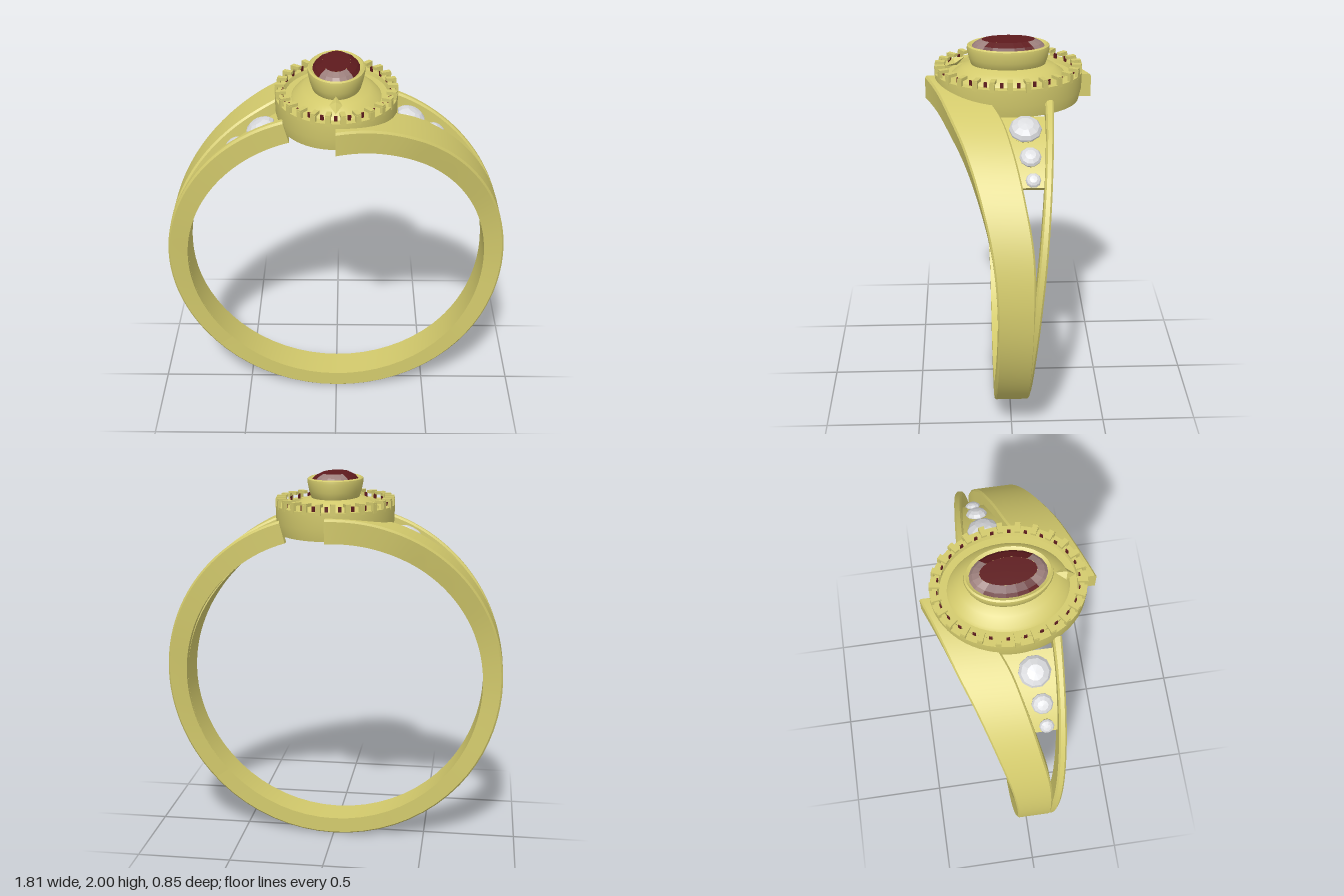
import * as THREE from 'three';
import { toCreasedNormals } from 'three/addons/utils/BufferGeometryUtils.js';

const paint = (name, color) => {
  const m = new THREE.MeshStandardMaterial({ color });
  m.name = name;
  return m;
};

// Point between the finger hole (f = 0) and the outside of the band (f = 1)
function bandPoint(a, f, z) {
  const r = THREE.MathUtils.lerp(0.8, 0.905, f);
  const cy = THREE.MathUtils.lerp(0.89, 0.905, f);
  return [Math.cos(a) * r, cy + Math.sin(a) * r, z];
}

// Curved strip; keys are [degrees, back z, front z]
function strip(keys, f0 = 0, f1 = 1, steps = 72) {
  const curve = new THREE.CatmullRomCurve3(keys.map(k => new THREE.Vector3(...k)), false, 'centripetal');
  const pos = [], idx = [], n = 6;
  for (let i = 0; i <= steps; i++) {
    const p = curve.getPoint(i / steps);
    const a = THREE.MathUtils.degToRad(p.x), b = 0.009, fb = f1 - 0.09;
    [[f0, p.y], [fb, p.y], [f1, p.y + b], [f1, p.z - b], [fb, p.z], [f0, p.z]]
      .forEach(([f, z]) => pos.push(...bandPoint(a, f, z)));
    if (i === steps) break;
    for (let j = 0; j < n; j++) {
      const k = (j + 1) % n, s = i * n, t = s + n;
      idx.push(s + j, t + j, t + k, s + j, t + k, s + k);
    }
  }
  const e = steps * n;
  for (let j = 1; j < n - 1; j++) idx.push(0, j, j + 1, e, e + j + 1, e + j);
  const g = new THREE.BufferGeometry();
  g.setAttribute('position', new THREE.Float32BufferAttribute(pos, 3));
  g.setIndex(idx);
  return toCreasedNormals(g, 0.5);
}

// Oval turned shape: each radius is GROW longer along z than along x
const GROW = 0.065;
function ovalLathe(profile, segs, crease, start = 0, length = Math.PI * 2) {
  const g = new THREE.LatheGeometry(profile.map(p => new THREE.Vector2(...p)), segs, start, length);
  const p = g.attributes.position;
  for (let i = 0; i < p.count; i++) {
    const r = Math.hypot(p.getX(i), p.getZ(i));
    if (r > 0.01) p.setZ(i, p.getZ(i) * (r + GROW) / r);
  }
  return toCreasedNormals(g, crease);
}

export function createModel() {
  const gold = paint('gold', 0xd3ca6c);
  const red = paint('deep red', 0x5e1a1d);
  const pink = paint('dusty pink', 0x9c7f7c);
  const white = paint('pale stone', 0xd9dadd);
  const model = new THREE.Group();
  const add = (parent, name, geo, mat) => {
    const m = new THREE.Mesh(geo, mat);
    m.name = name;
    parent.add(m);
    return m;
  };

  // Shank: two identical halves, each a half turn from the other
  const mainGeo = strip([[-90, -0.09, 0.09], [-40, -0.09, 0.09], [0, -0.1, 0.08], [20, -0.095, 0.105],
    [37, -0.055, 0.16], [53, -0.005, 0.23], [66, 0.05, 0.3], [78, 0.14, 0.36], [90, 0.25, 0.425]]);
  const thinGeo = strip([[-45, -0.088, -0.05], [-20, -0.105, -0.07], [0, -0.13, -0.09], [20, -0.16, -0.12],
    [40, -0.185, -0.147], [60, -0.205, -0.167], [73, -0.217, -0.172]], 0, 0.98);
  const plateGeo = strip([[42, -0.16, -0.03], [53, -0.175, 0.01], [70, -0.19, 0.08]], 0.25, 0.45, 16);
  const stoneProfile = [[0, -0.3], [0.6, -0.3], [1, 0], [1, 0.12], [0.85, 0.35], [0.5, 0.55], [0, 0.6]]
    .map(p => new THREE.Vector2(...p));
  const stoneGeo = new THREE.LatheGeometry(stoneProfile, 10).toNonIndexed();
  stoneGeo.computeVertexNormals();

  for (const turn of [0, Math.PI]) {
    const half = new THREE.Group();
    half.name = turn ? 'rightShankHalf' : 'leftShankHalf';
    half.rotation.y = turn;
    model.add(half);
    add(half, 'mainBand', mainGeo, gold);
    add(half, 'thinBand', thinGeo, gold);
    add(half, 'stonePlate', plateGeo, gold);

    // Graduated side stones, each with a seat open on the finger side
    for (const [deg, z, r] of [[63.3, -0.07, 0.08], [52.4, -0.088, 0.053], [44.3, -0.098, 0.037]]) {
      const a = THREE.MathUtils.degToRad(deg);
      const setting = new THREE.Group();
      setting.name = 'sideStoneSetting';
      setting.position.set(...bandPoint(a, 0.52, z));
      setting.rotation.z = a - Math.PI / 2;
      half.add(setting);
      add(setting, 'sideStone', stoneGeo, white).scale.setScalar(r);
      add(setting, 'seat', new THREE.CylinderGeometry(r * 0.95, r * 0.7, 0.03, 24), gold).position.y = -0.02;
      const ring = add(setting, 'seatRing', new THREE.TorusGeometry(r * 0.55, r * 0.2, 8, 24), gold);
      ring.rotation.x = Math.PI / 2;
      ring.position.y = -0.036;
      add(setting, 'stoneUnderside', new THREE.CylinderGeometry(r * 0.45, r * 0.45, 0.006, 16), white).position.y = -0.036;
    }
  }

  // Oval head: hollow halo wall, groove and sloping dome
  const head = new THREE.Group();
  head.name = 'head';
  model.add(head);
  add(head, 'haloCup', ovalLathe([[0.295, 1.69], [0.309, 1.75], [0.31, 1.835], [0.272, 1.835], [0.264, 1.815],
    [0.228, 1.815], [0.217, 1.828], [0.17, 1.862], [0.115, 1.878], [0.115, 1.855], [0.17, 1.835], [0.21, 1.8],
    [0.262, 1.785], [0.268, 1.69], [0.295, 1.69]], 64, 0.6), gold);
  add(head, 'bezel', ovalLathe([[0, 1.82], [0.08, 1.83], [0.122, 1.865], [0.136, 1.91], [0.145, 1.955],
    [0.143, 1.97], [0.134, 1.976], [0.118, 1.966], [0, 1.96]], 64, 0.6), gold);

  // Claws around the halo with red slivers in the gaps
  const count = 26;
  for (let i = 0; i < count * 2; i++) {
    const t = i * Math.PI / count;
    const place = (name, geo, mat, r, y) => {
      const m = add(head, name, geo, mat);
      m.position.set(Math.sin(t) * r, y, Math.cos(t) * (r + GROW));
      m.rotation.y = Math.atan2(Math.sin(t) * (r + GROW), Math.cos(t) * r);
    };
    if (i % 2) {
      place('clawPost', new THREE.BoxGeometry(0.026, 0.045, 0.016), gold, 0.303, 1.845);
      place('clawTip', new THREE.BoxGeometry(0.026, 0.016, 0.05), gold, 0.284, 1.868);
    } else {
      place('haloSliver', new THREE.BoxGeometry(0.016, 0.026, 0.006), red, 0.274, 1.848);
    }
  }

  // Centre gem: flat table and faceted crown
  const crown = [[0.12, 1.966], [0.105, 1.982], [0.07, 1.999]];
  add(head, 'gemTable', ovalLathe([[0.07, 1.999], [0, 2]], 20, 0.1), red);
  for (let q = 0; q < 4; q++) {
    add(head, 'gemCrown', ovalLathe(crown, 5, 0.05, q * Math.PI / 2 - Math.PI / 4, Math.PI / 2), q % 2 ? red : pink);
  }

  // Small pointed bead leaning on the front of the dome
  const bead = add(head, 'pointedBead', new THREE.OctahedronGeometry(1), gold);
  bead.scale.set(0.032, 0.022, 0.055);
  bead.position.set(0, 1.885, 0.27);
  bead.rotation.x = 0.45;

  return model;
}
